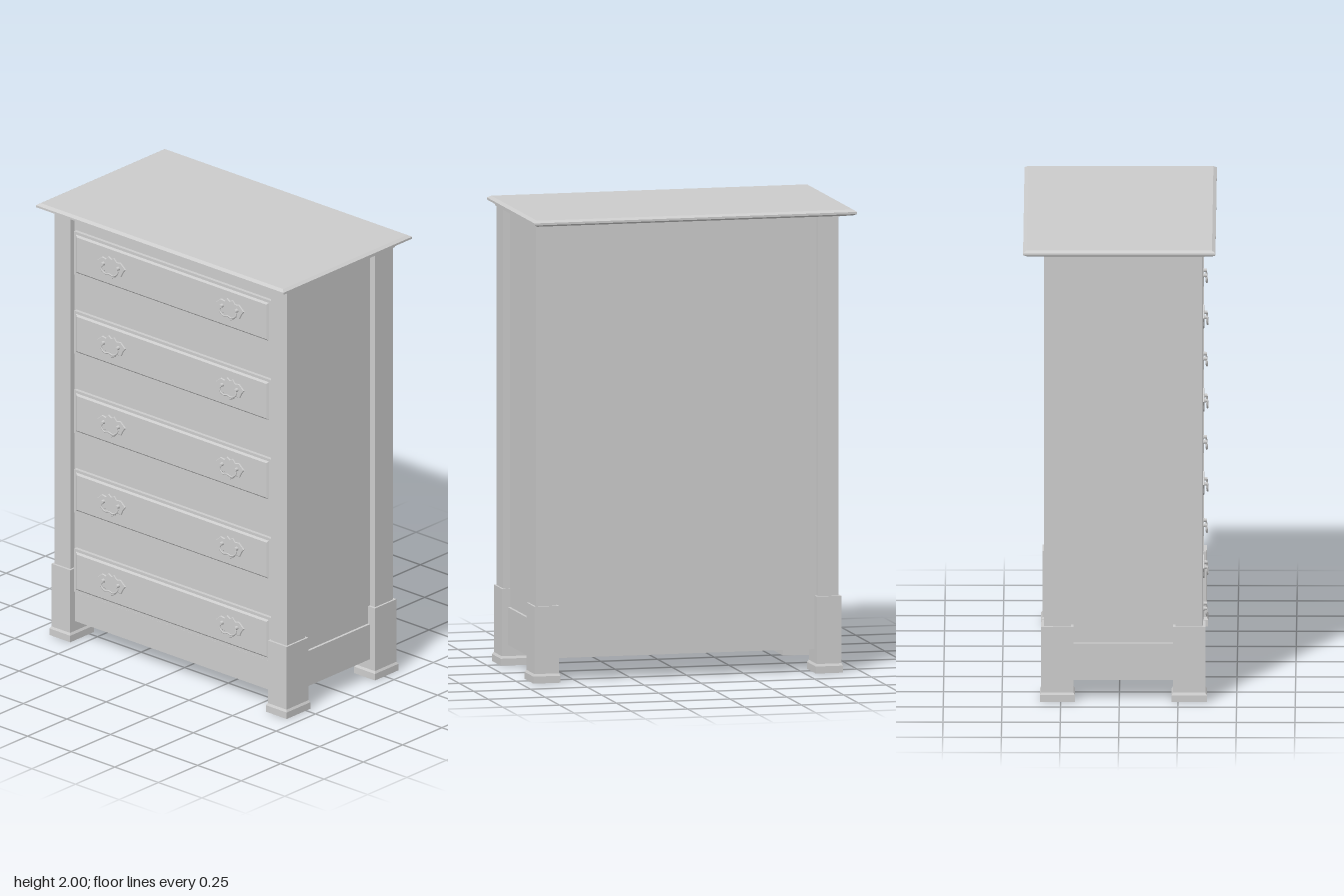
import * as THREE from 'three';

const material = new THREE.MeshStandardMaterial({ color: 0xcccccc, flatShading: true });
const smooth = new THREE.MeshStandardMaterial({ color: 0xcccccc });

function add(parent, name, geometry, mat = material) {
  const mesh = new THREE.Mesh(geometry, mat);
  mesh.name = name;
  parent.add(mesh);
  return mesh;
}

// Box given by its lower and upper limits on each axis
function block(parent, name, [x0, x1], [y0, y1], [z0, z1]) {
  const mesh = add(parent, name, new THREE.BoxGeometry(x1 - x0, y1 - y0, z1 - z0));
  mesh.position.set((x0 + x1) / 2, (y0 + y1) / 2, (z0 + z1) / 2);
  return mesh;
}

// Box whose top face is drawn in (or out, if negative) by an inset on all sides
function taper(parent, name, w, h, d, inset) {
  const geometry = new THREE.BoxGeometry(w, h, d);
  const p = geometry.attributes.position;
  for (let i = 0; i < p.count; i++) {
    if (p.getY(i) < 0) continue;
    p.setX(i, p.getX(i) - Math.sign(p.getX(i)) * inset);
    p.setZ(i, p.getZ(i) - Math.sign(p.getZ(i)) * inset);
  }
  geometry.computeVertexNormals();
  return add(parent, name, geometry);
}

// Corner post with a thicker lower block and a chamfered foot
function cornerPost(x, z) {
  const post = new THREE.Group();
  post.name = 'cornerPost';
  const parts = [
    ['shaft', 0.115, 0.09, 0.33, 1.972, 0],
    ['legBlock', 0.138, 0.108, 0.035, 0.33, 0],
    ['foot', 0.15, 0.12, 0, 0.03, 0],
    ['footChamfer', 0.15, 0.12, 0.03, 0.04, 0.006],
  ];
  for (const [name, w, d, y0, y1, inset] of parts) {
    taper(post, name, w, y1 - y0, d, inset).position.y = (y0 + y1) / 2;
  }
  post.position.set(x, 0, z);
  return post;
}

// Shaped back plate with a hanging bail, modelled facing +z
function drawerPull() {
  const pull = new THREE.Group();
  pull.name = 'drawerPull';
  const half = [[0, 0.036], [0.016, 0.046], [0.03, 0.03], [0.052, 0.034], [0.078, 0.012],
    [0.064, -0.006], [0.054, -0.026], [0.03, -0.024], [0.018, -0.04], [0, -0.05]];
  const outline = [...half, ...half.slice(1, -1).reverse().map(([x, y]) => [-x, y])];
  const shape = new THREE.Shape(outline.map(([x, y]) => new THREE.Vector2(x, y)));
  add(pull, 'backPlate', new THREE.ExtrudeGeometry(shape,
    { depth: 0.004, bevelEnabled: true, bevelThickness: 0.002, bevelSize: 0.002, bevelSegments: 1 }));
  for (const s of [-1, 1]) {
    const stud = add(pull, 'stud', new THREE.CylinderGeometry(0.007, 0.009, 0.016, 10), smooth);
    stud.rotation.x = Math.PI / 2;
    stud.position.set(s * 0.042, 0.008, 0.012);
  }
  const path = new THREE.CatmullRomCurve3([[-0.042, 0.008, 0.016], [-0.046, -0.012, 0.018],
    [-0.024, -0.028, 0.02], [0, -0.024, 0.02], [0.024, -0.028, 0.02], [0.046, -0.012, 0.018],
    [0.042, 0.008, 0.016]].map((p) => new THREE.Vector3(...p)));
  add(pull, 'bail', new THREE.TubeGeometry(path, 28, 0.004, 6), smooth);
  return pull;
}

// Drawer front on the -x side: lipped board, bevelled edge and two pulls
function drawer(y) {
  const group = new THREE.Group();
  group.name = 'drawer';
  const width = 1.13, height = 0.2;
  block(group, 'drawerLip', [-0.344, -0.3], [-height / 2, height / 2], [-width / 2, width / 2]);
  const face = taper(group, 'drawerFace', height - 0.024, 0.008, width - 0.024, 0.008);
  face.rotation.z = Math.PI / 2;
  face.position.x = -0.348;
  for (const s of [-1, 1]) {
    const pull = drawerPull();
    pull.rotation.y = -Math.PI / 2;
    pull.position.set(-0.352, 0, s * 0.34);
    group.add(pull);
  }
  group.position.set(0, y, 0.015);
  return group;
}

export function createModel() {
  const model = new THREE.Group();
  model.name = 'chestOfDrawers';

  // Posts at the four corners
  for (const x of [-0.298, 0.264]) for (const z of [-0.606, 0.636]) model.add(cornerPost(x, z));

  // Carcass, set back between the posts
  block(model, 'carcass', [-0.328, 0.295], [0.1, 1.97], [-0.57, 0.6]);
  block(model, 'bottomRail', [-0.336, -0.3], [0.085, 0.22], [-0.56, 0.59]);
  for (const s of [-1, 1]) {
    const z = (d) => [0.015 + s * d, 0.015 + s * 0.56].sort((a, b) => a - b);
    block(model, 'sidePanel', [-0.25, 0.22], [0.1, 1.97], z(0.636));
    block(model, 'sideApron', [-0.25, 0.22], [0.088, 0.25], z(0.648));
  }

  // Drawers
  for (let i = 0; i < 5; i++) model.add(drawer(0.325 + i * 0.3675));

  // Table top with chamfered edges and a small moulding beneath
  block(model, 'topMoulding', [-0.362, 0.328], [1.962, 1.976], [-0.655, 0.685]);
  const layers = [['topUnderside', 0.79, 1.39, 1.974, 1.982, -0.015],
    ['topEdge', 0.82, 1.42, 1.982, 1.991, 0], ['topSurface', 0.82, 1.42, 1.991, 2, 0.015]];
  for (const [name, w, d, y0, y1, inset] of layers) {
    taper(model, name, w, y1 - y0, d, inset).position.y = (y0 + y1) / 2;
  }
  return model;
}
